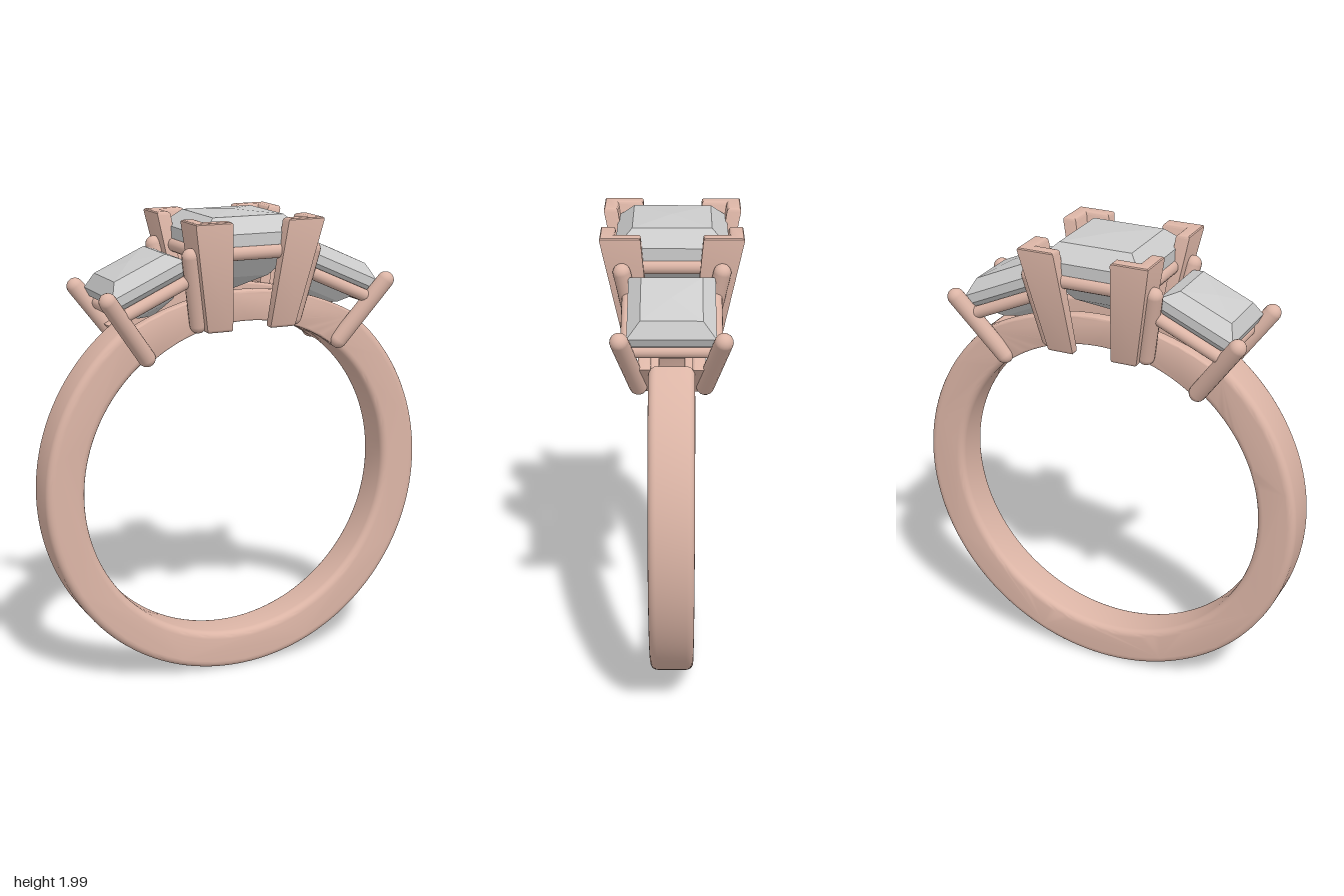
import * as THREE from 'three';
import { toCreasedNormals } from 'three/addons/utils/BufferGeometryUtils.js';

const metal = new THREE.MeshStandardMaterial({ color: 0xdcb5a6 });
const gem = new THREE.MeshStandardMaterial({ color: 0xcccccc, flatShading: true });
const CY = 0.8625;        // centre height of the ring
const R_IN = 0.6925;      // finger radius
const R_OUT = 0.857;
const HEAD = 0.637;       // half angle of the head, measured from the top
const TILT = 0.42;        // tilt of the side stones

function add(parent, name, geometry, material = metal) {
  const mesh = new THREE.Mesh(geometry, material);
  mesh.name = name;
  parent.add(mesh);
  return mesh;
}

// Arc-shaped bar in the plane of the ring; angles run clockwise from the top
function arcBar(a0, a1, outer, z0, z1, bevel) {
  const n = Math.max(6, Math.ceil((a1 - a0) * 22));
  const at = (a, r) => new THREE.Vector2(r * Math.sin(a), CY + r * Math.cos(a));
  const pts = [];
  for (let i = 0; i <= n; i++) pts.push(at(a0 + (a1 - a0) * i / n, R_IN));
  for (let i = n; i >= 0; i--) {
    const a = a0 + (a1 - a0) * i / n;
    pts.push(at(a, outer(a)));
  }
  const geo = new THREE.ExtrudeGeometry(new THREE.Shape(pts), {
    depth: z1 - z0 - 2 * bevel, bevelThickness: bevel, bevelSize: bevel,
    bevelOffset: -bevel, bevelSegments: 5,
  });
  geo.translate(0, 0, z0 + bevel);
  return toCreasedNormals(geo, 0.6);
}

// Round-ended rod between two points
function rod(a, b, r) {
  const dir = new THREE.Vector3().subVectors(b, a);
  const geo = new THREE.CapsuleGeometry(r, dir.length(), 6, 16);
  geo.applyQuaternion(new THREE.Quaternion().setFromUnitVectors(
    new THREE.Vector3(0, 1, 0), dir.clone().normalize()));
  return geo.translate((a.x + b.x) / 2, (a.y + b.y) / 2, (a.z + b.z) / 2);
}

// Square-cut stone, origin at the top of its girdle
function stone(a) {
  const profile = [[0, -1.15], [0.5, -0.85], [0.85, -0.4], [1, -0.22], [1, 0], [0.7, 0.28], [0, 0.33]]
    .map(([r, y]) => new THREE.Vector2(r * a * Math.SQRT2, y * a));
  const geo = new THREE.LatheGeometry(profile, 4, Math.PI / 4).toNonIndexed();
  geo.computeVertexNormals();
  return geo;
}

// Rectangular frame of four rods
function basket(parent, name, hx, hz, y, r) {
  const c = [[-hx, -hz], [hx, -hz], [hx, hz], [-hx, hz]].map(([x, z]) => new THREE.Vector3(x, y, z));
  c.forEach((p, i) => add(parent, name, rod(p, c[(i + 1) % 4], r)));
}

// L-section claw, narrowing towards the foot
function cornerClaw() {
  const o = 0.282, i = o - 0.058, e = o - 0.16, b = 0.012;
  const low = 1.53, high = 1.985;
  const shape = new THREE.Shape([[o, o], [e, o], [e, i], [i, i], [i, e], [o, e]]
    .map(([x, y]) => new THREE.Vector2(x, y)));
  const geo = new THREE.ExtrudeGeometry(shape, {
    depth: high - low - 2 * b, bevelThickness: b, bevelSize: b, bevelOffset: -b, bevelSegments: 3,
  });
  geo.rotateX(-Math.PI / 2).translate(0, low + b, 0);
  const p = geo.attributes.position;
  for (let k = 0; k < p.count; k++) {
    const s = 0.69 + 0.31 * (p.getY(k) - low) / (high - low);
    p.setX(k, p.getX(k) * s);
    p.setZ(k, p.getZ(k) * s);
  }
  return toCreasedNormals(geo, 0.6);
}

export function createModel() {
  const ring = new THREE.Group();
  ring.name = 'ring';

  // Shank, open at the head
  add(ring, 'shank', arcBar(HEAD, 2 * Math.PI - HEAD, () => R_OUT, -0.09, 0.09, 0.03));

  // Head: two side rails that thin towards the middle
  const railOuter = a => 0.82 + 0.035 * (a / HEAD) ** 2;
  for (const z of [-0.13, 0.08]) {
    add(ring, 'headRail', arcBar(-HEAD - 0.02, HEAD + 0.02, railOuter, z, z + 0.05, 0.01));
  }

  // Thin floor under the stones with windows left between the plates
  const floorOuter = () => 0.722;
  const windows = [-0.48, -0.25, 0, 0.25, 0.48], half = 0.05;
  let start = -HEAD - 0.02;
  for (const w of [...windows, HEAD + 0.02 + half]) {
    add(ring, 'floorPlate', arcBar(start, w - half, floorOuter, -0.1, 0.1, 0.004));
    start = w + half;
  }
  for (const w of windows) {
    for (const z of [-0.1, 0.05]) {
      add(ring, 'floorStrip', arcBar(w - half - 0.01, w + half + 0.01, floorOuter, z, z + 0.05, 0.004));
    }
  }

  // Centre stone in its basket
  add(ring, 'centreStone', stone(0.223), gem).position.y = 1.926;
  basket(ring, 'centreBasket', 0.21, 0.21, 1.85, 0.03);
  const claw = cornerClaw();
  for (let k = 0; k < 4; k++) add(ring, 'cornerClaw', claw).rotation.y = k * Math.PI / 2;

  // Side stones, tilted outwards, each held by four round claws
  for (const s of [-1, 1]) {
    const setting = new THREE.Group();
    setting.name = s > 0 ? 'leftSetting' : 'rightSetting';
    setting.position.set(s * 0.435, 1.76, 0);
    setting.rotation.z = -s * TILT;
    add(setting, 'sideStone', stone(0.169), gem);
    basket(setting, 'sideBasket', 0.15, 0.17, -0.08, 0.026);
    ring.add(setting);
    for (const f of [-1, 1]) {
      const v = (x, y, z) => new THREE.Vector3(s * x, y, f * z);
      add(ring, 'outerClaw', rod(v(0.435, 1.44, 0.13), v(0.618, 1.692, 0.195), 0.036));
      add(ring, 'innerClaw', rod(v(0.215, 1.56, 0.14), v(0.27, 1.845, 0.195), 0.035));
    }
  }
  return ring;
}
